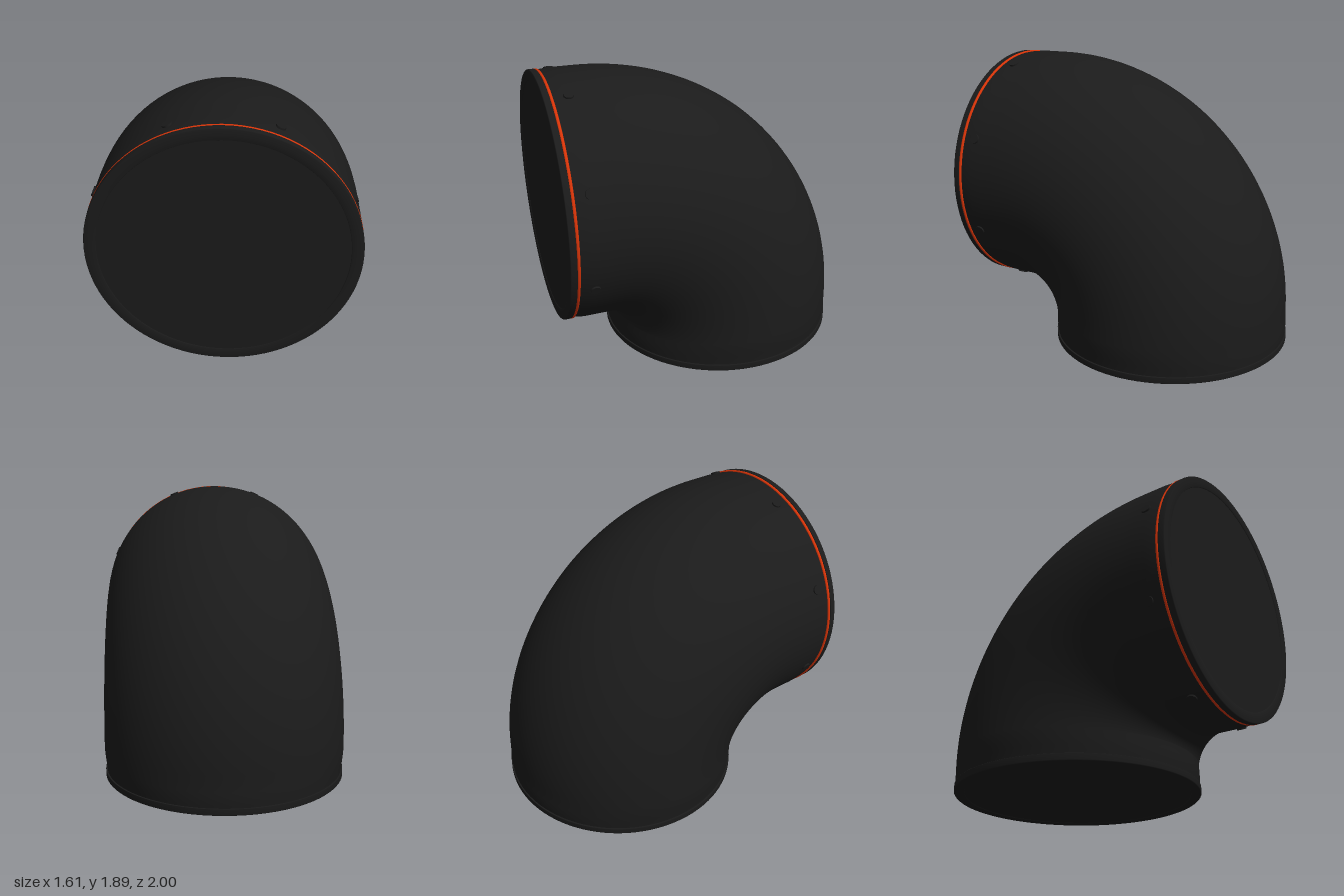
import * as THREE from 'three';

const mat = (name, color) => {
  const m = new THREE.MeshStandardMaterial({ color });
  m.name = name;
  return m;
};

const R = 0.803, BEND = 0.9, CY = 0.187, CZ = 0.7; // pipe radius, bend radius, bend centre
const AXIS_Y = CY + BEND, AXIS_Z = CZ - BEND;      // axes of the front and bottom openings

// Elbow skin: elliptical sections swept up, round the bend and forward
function elbowGeometry() {
  const sections = [];
  const add = (y, z, t, rx, rn) => sections.push({ y, z, t, rx, rn });
  for (const [y, rx, rn] of [[0.03, 0.787, 0.788], [0.06, 0.789, 0.79], [0.1, 0.794, 0.793], [0.14, 0.799, 0.79]])
    add(y, AXIS_Z, 0, rx, rn);
  const steps = 48;
  for (let i = 0; i <= steps; i++) {
    const t = (i / steps) * Math.PI / 2;
    const rn = 0.787 + (R - 0.787) * Math.min(1, i / 28);
    add(CY + BEND * Math.sin(t), CZ - BEND * Math.cos(t), t, R, rn);
  }
  for (const [z, r] of [[0.78, R], [0.86, R], [0.91, 0.799], [0.94, 0.794], [0.965, 0.792]])
    add(AXIS_Y, z, Math.PI / 2, r, r);

  const n = 96, pos = [], index = [];
  sections.forEach((s, i) => {
    for (let j = 0; j < n; j++) {
      const a = (j / n) * Math.PI * 2, k = s.rn * Math.sin(a);
      pos.push(s.rx * Math.cos(a), s.y + k * Math.sin(s.t), s.z - k * Math.cos(s.t));
      if (i === sections.length - 1) continue;
      const p = i * n + j, q = i * n + (j + 1) % n;
      index.push(p, q, p + n, q, q + n, p + n);
    }
  });
  const g = new THREE.BufferGeometry();
  g.setAttribute('position', new THREE.Float32BufferAttribute(pos, 3));
  g.setIndex(index);
  g.computeVertexNormals();
  return g;
}

// Closed end collar of radius r and depth d, outer face at the origin looking along +y
function makeCollar(name, r, d, material) {
  const group = new THREE.Group();
  group.name = name;
  // Softly shaded rim: back edge, side wall, rounded lip, short step down to the cap
  const profile = [[0.77, -d], [r - 0.001, -d], [r, -d + 0.002], [r, -0.006], [r - 0.005, -0.001],
    [0.765, 0], [0.734, -0.001], [0.73, -0.008]];
  const rim = new THREE.Mesh(
    new THREE.LatheGeometry(profile.map(([x, y]) => new THREE.Vector2(x, y)), 96), material);
  rim.name = name + 'Rim';
  const cap = new THREE.Mesh(new THREE.CircleGeometry(0.731, 96), material);
  cap.name = name + 'Cap';
  cap.rotation.x = -Math.PI / 2;
  cap.position.y = -0.007;
  group.add(rim, cap);
  return group;
}

export function createModel() {
  const model = new THREE.Group();
  model.name = 'pipeElbow';
  const charcoal = mat('charcoal', 0x1b1b1b);
  const red = mat('red orange', 0xd83408);

  const elbow = new THREE.Mesh(elbowGeometry(), charcoal);
  elbow.name = 'elbow';
  model.add(elbow);

  // End collars
  const front = makeCollar('frontCollar', 0.802, 0.042, charcoal);
  front.rotation.x = Math.PI / 2;
  front.position.set(0, AXIS_Y, 1);
  const base = makeCollar('baseCollar', 0.798, 0.044, charcoal);
  base.rotation.x = Math.PI;
  base.position.set(0, 0, AXIS_Z);
  model.add(front, base);

  // Coloured trim ring behind the front collar
  const ring = new THREE.Mesh(new THREE.TorusGeometry(0.793, 0.0105, 12, 96), red);
  ring.name = 'trimRing';
  ring.position.set(0, AXIS_Y, 0.949);
  model.add(ring);

  // Eight rivets round the front opening
  const rivetGeo = new THREE.CylinderGeometry(0.03, 0.032, 0.03, 20);
  const up = new THREE.Vector3(0, 1, 0);
  for (let i = 0; i < 8; i++) {
    const a = (i + 0.5) * Math.PI / 4;
    const dir = new THREE.Vector3(Math.cos(a), Math.sin(a), 0);
    const rivet = new THREE.Mesh(rivetGeo, charcoal);
    rivet.name = 'rivet' + (i + 1);
    rivet.position.copy(dir).multiplyScalar(0.797).add(new THREE.Vector3(0, AXIS_Y, 0.85));
    rivet.quaternion.setFromUnitVectors(up, dir);
    model.add(rivet);
  }
  return model;
}
